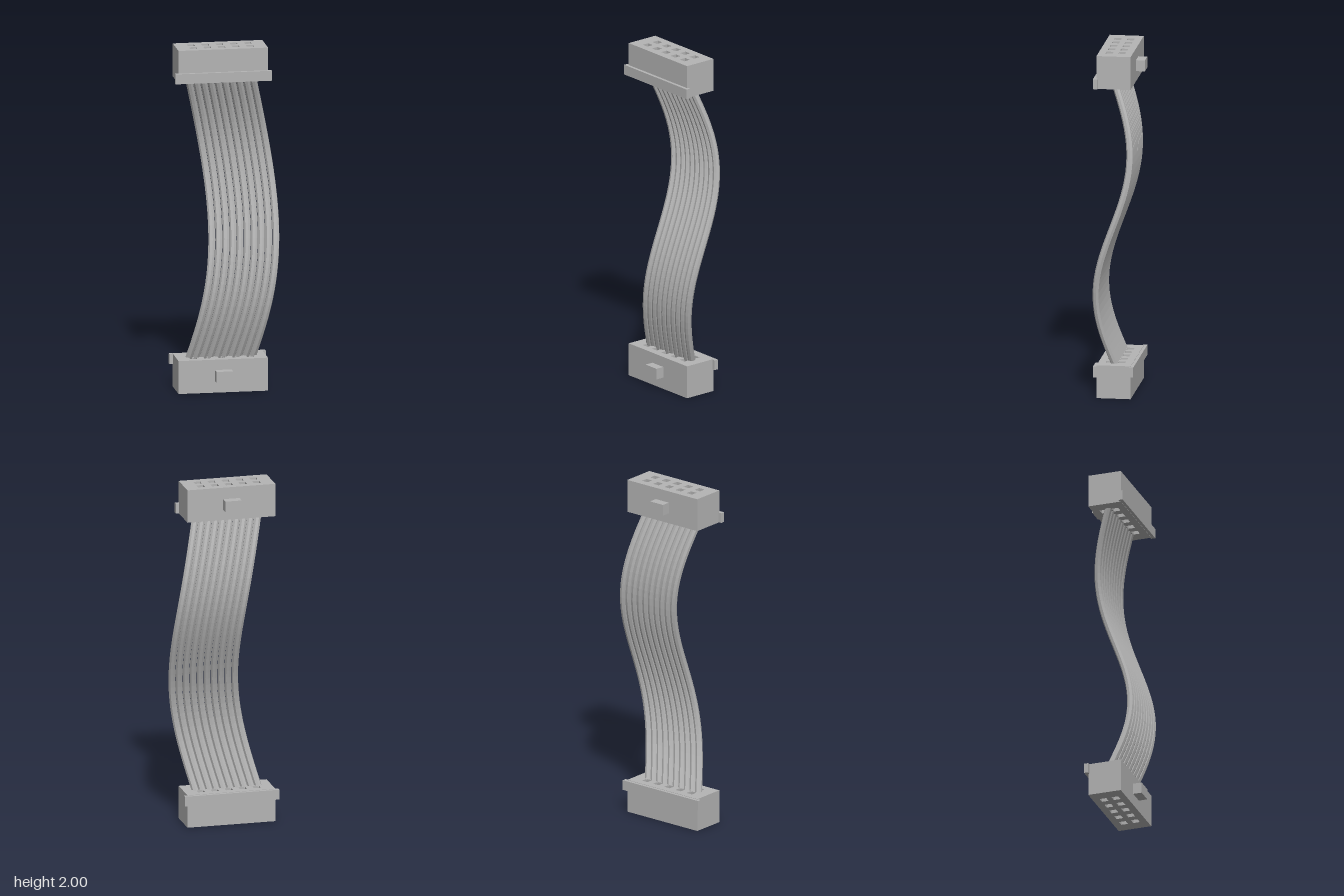
import * as THREE from 'three';

const H = 0.192;        // connector height
const CX = -0.03;       // connector centre in x
const PITCH = 0.041;    // wire spacing

const grey = new THREE.MeshStandardMaterial({ color: 0xb4b4b4, flatShading: true });
grey.name = 'plain grey';

function addBox(group, name, x0, x1, y0, y1, z0, z1) {
  const mesh = new THREE.Mesh(new THREE.BoxGeometry(x1 - x0, y1 - y0, z1 - z0), grey);
  mesh.position.set((x0 + x1) / 2, (y0 + y1) / 2, (z0 + z1) / 2);
  mesh.name = name;
  group.add(mesh);
}

function rectPoints(path, x, y, w, h) {
  path.moveTo(x - w / 2, y - h / 2);
  path.lineTo(x + w / 2, y - h / 2);
  path.lineTo(x + w / 2, y + h / 2);
  path.lineTo(x - w / 2, y + h / 2);
  path.closePath();
  return path;
}

// Socket housing with two rows of five square holes, standing on y = 0
function makeConnector(name) {
  const g = new THREE.Group();
  g.name = name;
  const shape = rectPoints(new THREE.Shape(), CX, 0, 0.516, 0.196);
  for (let i = 0; i < 5; i++) {
    for (const z of [-0.036, 0.036]) {
      const x = CX + (i - 2) * 0.082;
      shape.holes.push(rectPoints(new THREE.Path(), x, z, 0.04, 0.04));
      // contact recessed inside each hole
      addBox(g, 'contact', x - 0.0185, x + 0.0185, 0.02, H - 0.02, z - 0.0185, z + 0.0185);
    }
  }
  const geo = new THREE.ExtrudeGeometry(shape, { depth: H, bevelEnabled: false });
  geo.rotateX(-Math.PI / 2);
  const body = new THREE.Mesh(geo, grey);
  body.name = 'housing';
  g.add(body);
  // key on the front, grip ridge on the back
  addBox(g, 'key', -0.078, 0.018, 0.068, 0.132, 0.09, 0.149);
  addBox(g, 'gripRidge', -0.308, 0.247, 0.132, 0.19, -0.116, -0.091);
  return g;
}

// Bowed sideways once and waved front to back once between the connectors
class WirePath extends THREE.Curve {
  constructor(x) {
    super();
    this.x = x;
  }
  getPoint(t, target = new THREE.Vector3()) {
    return target.set(
      this.x + 0.131 * Math.sin(Math.PI * t),
      H - 0.012 + t * (2 - 2 * H + 0.024),
      0.097 * Math.sin(2 * Math.PI * t)
    );
  }
}

export function createModel() {
  const model = new THREE.Group();
  model.name = 'ribbonCable';

  model.add(makeConnector('lowerConnector'));
  // the upper connector is the lower one turned over
  const upper = makeConnector('upperConnector');
  upper.rotation.x = Math.PI;
  upper.position.y = 2;
  model.add(upper);

  const ribbon = new THREE.Group();
  ribbon.name = 'ribbon';
  for (let i = 0; i < 10; i++) {
    const path = new WirePath(CX + (i - 4.5) * PITCH);
    const wire = new THREE.Mesh(new THREE.TubeGeometry(path, 40, 0.0205, 8), grey);
    wire.name = 'wire';
    ribbon.add(wire);
  }
  model.add(ribbon);
  return model;
}
